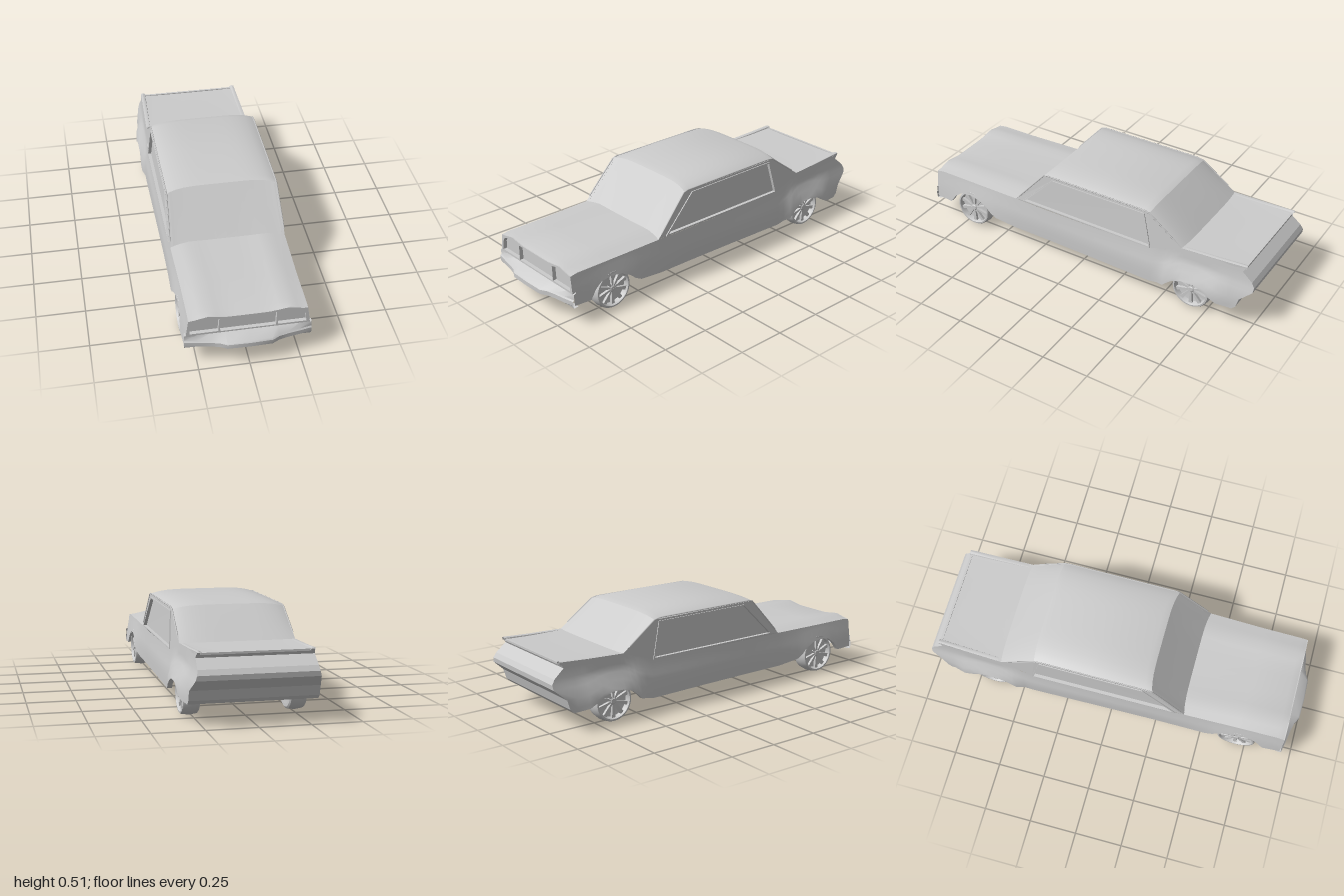
import * as THREE from 'three';
import { toCreasedNormals } from 'three/addons/utils/BufferGeometryUtils.js';

const mat = new THREE.MeshStandardMaterial({ color: 0xcccccc, side: THREE.DoubleSide });

function add(parent, name, geometry) {
  const m = new THREE.Mesh(geometry, mat);
  m.name = name;
  parent.add(m);
  return m;
}

// Linear lookup in a table of [key, value...] with ascending keys
function lookup(table, k, col = 1) {
  if (k <= table[0][0]) return table[0][col];
  for (let i = 1; i < table.length; i++) {
    const a = table[i - 1], b = table[i];
    if (k <= b[0]) return a[col] + (b[col] - a[col]) * (k - a[0]) / (b[0] - a[0]);
  }
  return table[table.length - 1][col];
}

// Surface through rows of points
function surface(rows, crease = 0.6) {
  const n = rows[0].length, idx = [];
  for (let i = 0; i < rows.length - 1; i++) {
    for (let j = 0; j < n - 1; j++) {
      const a = i * n + j;
      idx.push(a, a + n, a + 1, a + 1, a + n, a + n + 1);
    }
  }
  const g = new THREE.BufferGeometry();
  g.setAttribute('position', new THREE.Float32BufferAttribute(rows.flat(2), 3));
  g.setIndex(idx);
  return toCreasedNormals(g, crease);
}

// Half width of the body along z: at sill, at waist, at belt
const WIDTH = [
  [-1, 0.31, 0.31, 0.285], [-0.87, 0.315, 0.315, 0.287], [-0.81, 0.337, 0.334, 0.29],
  [-0.53, 0.338, 0.334, 0.298], [-0.48, 0.32, 0.32, 0.302], [0.3, 0.31, 0.311, 0.301],
  [0.45, 0.312, 0.31, 0.294], [0.65, 0.324, 0.312, 0.29], [0.94, 0.31, 0.304, 0.288],
];
function sideX(z, y) {
  const [lo, mid, top] = [1, 2, 3].map((c) => lookup(WIDTH, z, c));
  return lookup([[0.1, lo], [0.17, mid], [0.265, top], [0.475, top - 0.016]], y);
}

// Lower edge with wheel arches, upper edge, and tail outline
const SILL = [
  [-0.88, 0.1], [-0.82, 0.11], [-0.78, 0.13], [-0.74, 0.155], [-0.69, 0.17], [-0.62, 0.168],
  [-0.575, 0.15], [-0.545, 0.125], [-0.52, 0.1], [-0.44, 0.083], [-0.1, 0.088], [0.4, 0.092],
  [0.53, 0.107], [0.565, 0.125], [0.6, 0.155], [0.65, 0.18], [0.71, 0.188], [0.77, 0.18],
  [0.81, 0.15], [0.84, 0.107], [0.935, 0.11],
];
const BELT = [
  [-0.94, 0.345], [-0.6, 0.335], [-0.52, 0.307], [-0.43, 0.275], [0.4, 0.272], [0.7, 0.268],
  [0.9, 0.268], [0.935, 0.262],
];
const TAIL = [
  [0.1, -0.9], [0.12, -0.92], [0.17, -0.935], [0.225, -0.997], [0.25, -1], [0.275, -0.985],
  [0.32, -0.932], [0.345, -0.945],
];

// Top panels: stations [edge z, edge y, centre z, centre y, side hump]
const cowl = [0.4, 0.272, 0.385, 0.283, 0.005];
const header = [0.22, 0.475, 0.2, 0.494, 0];
const roofEnd = [-0.41, 0.472, -0.42, 0.492, 0];
const deck = [-0.6, 0.335, -0.61, 0.335, 0];
const TOP = {
  hood: [[0.935, 0.262, 0.935, 0.265, 0.015], [0.9, 0.268, 0.9, 0.275, 0.01],
    [0.7, 0.268, 0.7, 0.28, 0.008], cowl],
  windshield: [cowl, [0.31, 0.375, 0.288, 0.392, 0], header],
  roof: [header, [0.19, 0.478, 0.165, 0.504, 0], [-0.1, 0.48, -0.1, 0.507, 0],
    [-0.38, 0.478, -0.385, 0.503, 0], roofEnd],
  rearWindow: [roofEnd, [-0.51, 0.398, -0.52, 0.412, 0], deck],
  trunkLid: [deck, [-0.8, 0.338, -0.8, 0.335, 0], [-0.945, 0.345, -0.945, 0.34, 0]],
};
const ACROSS = [1, 0.96, 0.9, 0.82, 0.68, 0.52, 0.36, 0.18];
const FRACTIONS = [...ACROSS.map((f) => -f), 0, ...ACROSS.slice().reverse()];
function topRow([ze, ye, zc, yc, hump]) {
  const w = sideX(ze, ye);
  return FRACTIONS.map((f) => {
    const a = Math.abs(f), c = 1 - a ** 5;
    const bump = hump * Math.exp(-(((a - 0.68) / 0.18) ** 2)) * (1 - a ** 8);
    return [f * w, ye + (yc - ye) * c + bump, ze + (zc - ze) * c];
  });
}

const shapeOf = (pts) => new THREE.Shape(pts.map((p) => new THREE.Vector2(...p)));

// Flat outline in (z, y) wrapped onto the side of the body
function sidePlate(s, outline, hole, inner, outer) {
  const shape = shapeOf(outline);
  if (hole) shape.holes.push(shapeOf(hole));
  const g = new THREE.ExtrudeGeometry(shape, { depth: outer - inner, bevelEnabled: false });
  const p = g.attributes.position;
  for (let i = 0; i < p.count; i++) {
    const z = p.getX(i), y = p.getY(i);
    p.setXYZ(i, s * (sideX(z, y) + inner + p.getZ(i)), y, z);
  }
  g.computeVertexNormals();
  return g;
}

function buildSide(s) {
  const g = new THREE.Group();
  g.name = s > 0 ? 'leftSide' : 'rightSide';
  // Fender, door and quarter panel in one sheet, with a turned-in lower lip
  const point = (z, y, inset = 0) => [s * (sideX(z, y) - inset), y, z];
  const rows = [[point(-0.9, 0.1, 0.025), ...TAIL.map(([y, z]) => point(z, y))]];
  const stations = [...SILL.map((r) => r[0]), -0.6, -0.48, 0.2, 0.9].sort((a, b) => a - b);
  for (const z of stations) {
    const lo = lookup(SILL, z), hi = lookup(BELT, z);
    rows.push([point(z, lo, 0.025), ...TAIL.map(([y]) => point(z, lo + (hi - lo) * (y - 0.1) / 0.245))]);
  }
  add(g, 'bodySide', surface(rows));

  // Pillars, window trim and glass
  const pane = [[0.355, 0.278], [0.17, 0.463], [-0.385, 0.463], [-0.43, 0.278]];
  const opening = [[0.338, 0.284], [0.166, 0.456], [-0.379, 0.456], [-0.421, 0.284]];
  add(g, 'pillars', sidePlate(s, [[0.4, 0.272], [0.22, 0.475], [-0.41, 0.472], [-0.6, 0.335],
    [-0.43, 0.272]], pane, -0.015, 0));
  add(g, 'windowTrim', sidePlate(s, pane, opening, -0.015, 0.005));
  add(g, 'sideGlass', sidePlate(s, pane, null, -0.014, -0.012));
  // Drip rail along the roof edge
  const rail = new THREE.CatmullRomCurve3([[0.38, 0.295], [0.22, 0.475], [0.17, 0.479], [-0.36, 0.479],
    [-0.41, 0.472], [-0.56, 0.363]].map(([z, y]) => new THREE.Vector3(s * sideX(z, y), y, z)), false, 'catmullrom', 0.1);
  add(g, 'dripRail', new THREE.TubeGeometry(rail, 40, 0.004, 5));
  // Low fin on the rear deck
  const ridge = [[-0.62, 0.335, 0.002], [-0.8, 0.34, 0.005], [-0.95, 0.347, 0.007]];
  add(g, 'tailFin', surface(ridge.map(([z, y, h]) => {
    const x = sideX(z, y);
    return [[s * x, y - 0.01, z], [s * x, y + h * 0.5, z], [s * (x - 0.01), y + h, z],
      [s * (x - 0.022), y + h * 0.4, z], [s * (x - 0.026), y - 0.008, z]];
  })));
  return g;
}

function buildFront() {
  const g = new THREE.Group();
  g.name = 'front';
  // Nose plate with openings for the grille and lamps
  const lamp = (s) => [[0.145, 0.18], [0.283, 0.18], [0.28, 0.225], [0.265, 0.25], [0.235, 0.262],
    [0.195, 0.27], [0.14, 0.258]].map(([x, y]) => [s * x, y]);
  const grille = [[-0.135, 0.178], [0.135, 0.178], [0.138, 0.257], [0, 0.261], [-0.138, 0.257]];
  const outline = topRow(TOP.hood[0]).map(([x, y]) => [x, y]);
  const nose = shapeOf([[-0.302, 0.165], ...outline, [0.302, 0.165]]);
  for (const h of [grille, lamp(1), lamp(-1)]) nose.holes.push(shapeOf(h));
  add(g, 'nosePlate', new THREE.ExtrudeGeometry(nose, { depth: 0.025, bevelEnabled: false }))
    .position.z = 0.915;
  const panel = (name, pts) => add(g, name, new THREE.ShapeGeometry(shapeOf(pts))).position.z = 0.92;
  panel('grille', grille);
  panel('leftLamp', lamp(1));
  panel('rightLamp', lamp(-1));
  // Bumper, reaching furthest at the middle
  const half = [[0.31, 0.945], [0.25, 0.957], [0.19, 0.967], [0.145, 0.978], [0.11, 0.997]];
  const xs = [...half.map(([x, z]) => [-x, z]), [0, 1], ...half.slice().reverse()];
  add(g, 'frontBumper', surface(xs.map(([x, z]) => [[x, 0.178, 0.925], [x, 0.17, 0.94],
    [x, 0.142, z - 0.006], [x, 0.135, z], [x, 0.112, z], [x, 0.097, 0.94], [x, 0.1, 0.915]]), 0.5));
  return g;
}

function buildWheel(s, z) {
  const g = new THREE.Group();
  g.name = (z > 0 ? 'front' : 'rear') + (s > 0 ? 'Left' : 'Right') + 'Wheel';
  // Lathe profile [radius, distance outward]; axis turned to point outward
  const lathe = (name, pts) => add(g, name, toCreasedNormals(new THREE.LatheGeometry(
    pts.map((p) => new THREE.Vector2(...p)), 40), 0.6));
  lathe('tyre', [[0.078, -0.042], [0.094, -0.042], [0.102, -0.036], [0.107, 0], [0.102, 0.036],
    [0.098, 0.042], [0.09, 0.043], [0.086, 0.036], [0.084, 0.015]]);
  lathe('rimDish', [[0.001, 0.012], [0.05, 0.01], [0.088, 0.015]]);
  lathe('wheelBack', [[0.001, -0.035], [0.08, -0.042]]);
  lathe('hub', [[0.018, 0.01], [0.018, 0.032], [0.012, 0.037], [0.001, 0.037]]);
  for (let i = 0; i < 10; i++) {
    const blade = new THREE.BoxGeometry(0.08, 0.014, 0.02);
    const p = blade.attributes.position;
    for (let k = 0; k < p.count; k++) if (p.getX(k) < 0) p.setZ(k, p.getZ(k) * 0.4);
    blade.translate(0.048, 0.026, 0).rotateY(i * Math.PI / 5);
    add(g, 'spoke', blade);
  }
  g.rotation.z = -s * Math.PI / 2;
  g.position.set(s * 0.262, 0.107, z);
  return g;
}

export function createModel() {
  const car = new THREE.Group();
  car.name = 'car';
  for (const [name, stations] of Object.entries(TOP)) add(car, name, surface(stations.map(topRow)));
  // Tail panel shares the outline of the body sides
  add(car, 'tailPanel', surface(TAIL.map(([y, z]) => [-1, -0.5, 0, 0.5, 1].map((f) => [f * sideX(z, y), y - (y > 0.33 ? 0.005 * (1 - Math.abs(f)) : 0), z])), 0.3));
  add(car, 'deckLip', new THREE.BoxGeometry(0.52, 0.01, 0.012)).position.set(0, 0.34, -0.94);
  car.add(buildFront());
  for (const s of [1, -1]) {
    car.add(buildSide(s));
    for (const z of [0.695, -0.665]) car.add(buildWheel(s, z));
  }
  return car;
}
